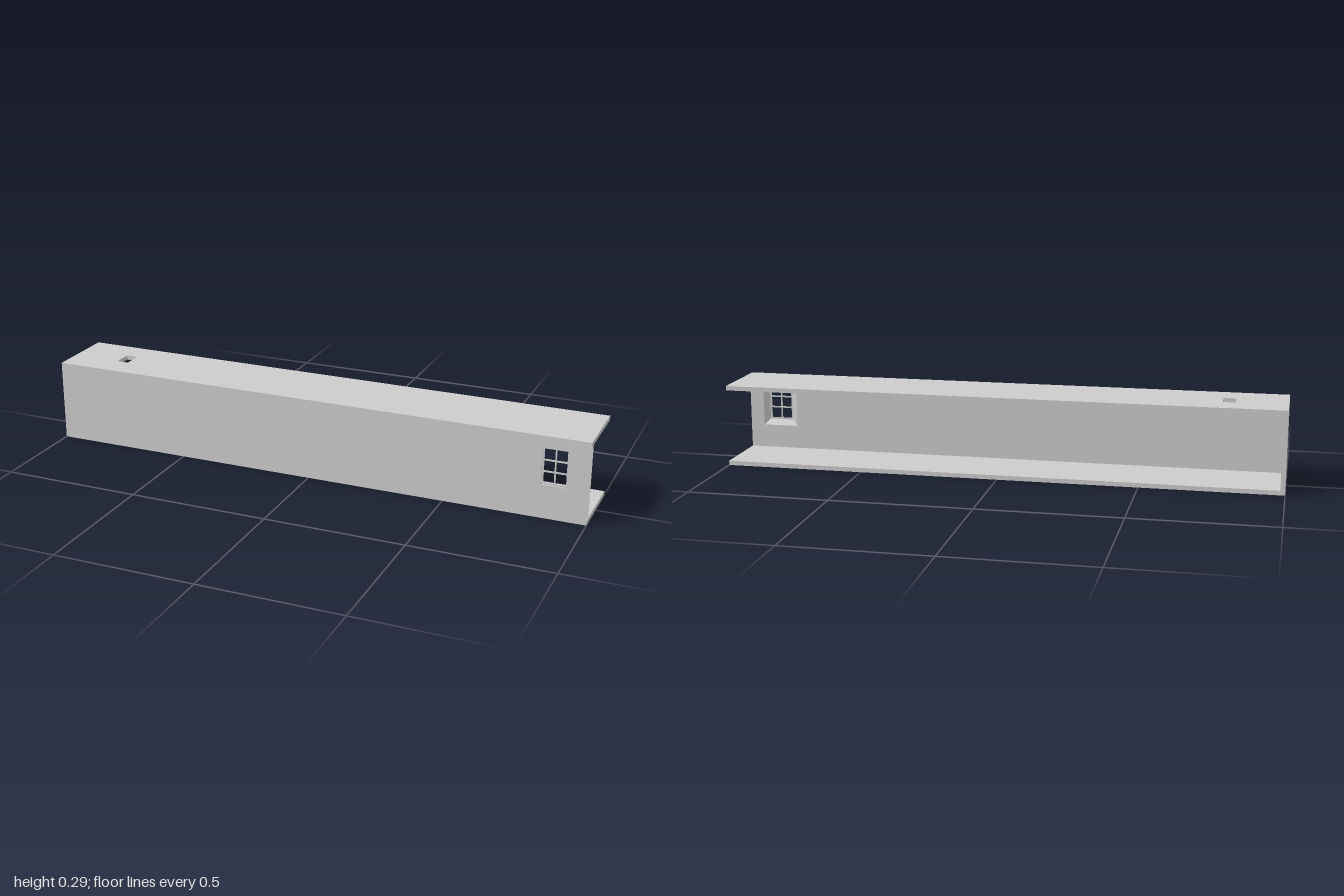
import * as THREE from 'three';

const material = new THREE.MeshStandardMaterial({ color: 0xcccccc, flatShading: true, side: THREE.DoubleSide });

// Overall shell: length 2, open at the back and at the +x end
const HEIGHT = 0.295, HALF_DEPTH = 0.131, SLAB = 0.016, WALL_INNER_Z = 0.105;
// Window opening and the roof hatch
const WIN = { x0: 0.839, x1: 0.929, y0: 0.121, y1: 0.255 };
const HATCH = { x0: -0.818, x1: -0.775, y0: -0.032, y1: 0.037 };
const RIM = 0.006;

const grow = (r, e) => ({ x0: r.x0 - e, x1: r.x1 + e, y0: r.y0 - e, y1: r.y1 + e });
const corners = r => [[r.x0, r.y0], [r.x1, r.y0], [r.x1, r.y1], [r.x0, r.y1]];
const points = r => corners(r).map(([x, y]) => new THREE.Vector2(x, y));

// Rectangle with a rectangular hole
function plateShape(outer, hole) {
  const shape = new THREE.Shape(points(outer));
  shape.holes.push(new THREE.Path(points(hole).reverse()));
  return shape;
}

function createModel() {
  const group = new THREE.Group();
  const add = (name, geometry, x = 0, y = 0, z = 0) => {
    const mesh = new THREE.Mesh(geometry, material);
    mesh.name = name;
    mesh.position.set(x, y, z);
    group.add(mesh);
    return mesh;
  };
  const box = (name, w, h, d, x, y, z) => add(name, new THREE.BoxGeometry(w, h, d), x, y, z);

  // Floor and closed end wall
  box('floor', 2, SLAB, HALF_DEPTH * 2, 0, SLAB / 2, 0);
  box('endWall', SLAB, HEIGHT - 2 * SLAB, HALF_DEPTH * 2, -1 + SLAB / 2, HEIGHT / 2, 0);

  // Ceiling with a small hatch hole
  const ceiling = new THREE.ExtrudeGeometry(
    plateShape({ x0: -1, x1: 1, y0: -HALF_DEPTH, y1: HALF_DEPTH }, HATCH),
    { depth: SLAB, bevelEnabled: false });
  ceiling.rotateX(-Math.PI / 2);
  add('ceiling', ceiling, 0, HEIGHT - SLAB, 0);

  // Hollow front wall: an outer and an inner sheet, open at the +x end
  const wall = { x0: -1, x1: 1, y0: SLAB, y1: HEIGHT - SLAB };
  add('outerWall', new THREE.ShapeGeometry(plateShape(wall, WIN)), 0, 0, HALF_DEPTH);
  const inner = new THREE.ShapeGeometry(plateShape({ ...wall, x0: -1 + SLAB }, grow(WIN, 0.02)));
  add('innerWall', inner, 0, 0, WALL_INNER_Z);

  // Window reveal: stepped rim, then a splay widening to the inside; each entry is [z, growth]
  const rings = [[HALF_DEPTH, 0], [0.126, 0], [0.126, -RIM], [0.1215, -RIM], [0.1215, 0], [0.117, 0], [WALL_INNER_Z, 0.02]];
  const loops = rings.map(([z, e]) => corners(grow(WIN, e)).map(([x, y]) => [x, y, z]));
  const vertices = [];
  for (let i = 0; i < loops.length - 1; i++) {
    for (let j = 0; j < 4; j++) {
      const k = (j + 1) % 4;
      const a = loops[i][j], b = loops[i][k], c = loops[i + 1][k], d = loops[i + 1][j];
      vertices.push(...a, ...b, ...c, ...a, ...c, ...d);
    }
  }
  const reveal = new THREE.BufferGeometry();
  reveal.setAttribute('position', new THREE.Float32BufferAttribute(vertices, 3));
  reveal.computeVertexNormals();
  add('windowReveal', reveal);

  // Glazing bars: one upright and two crossbars
  const pane = grow(WIN, -RIM), bar = 0.005, barZ = 0.1238, barDepth = 0.0045;
  const width = pane.x1 - pane.x0, height = pane.y1 - pane.y0;
  const midX = (pane.x0 + pane.x1) / 2, midY = (pane.y0 + pane.y1) / 2;
  box('windowUpright', bar, height, barDepth, midX, midY, barZ);
  for (const t of [1 / 3, 2 / 3]) {
    for (const s of [-1, 1]) {
      const len = (width - bar) / 2;
      box('windowCrossbar', len, bar, barDepth, midX + s * (bar + len) / 2, pane.y0 + height * t, barZ);
    }
  }
  return group;
}

export { createModel };
